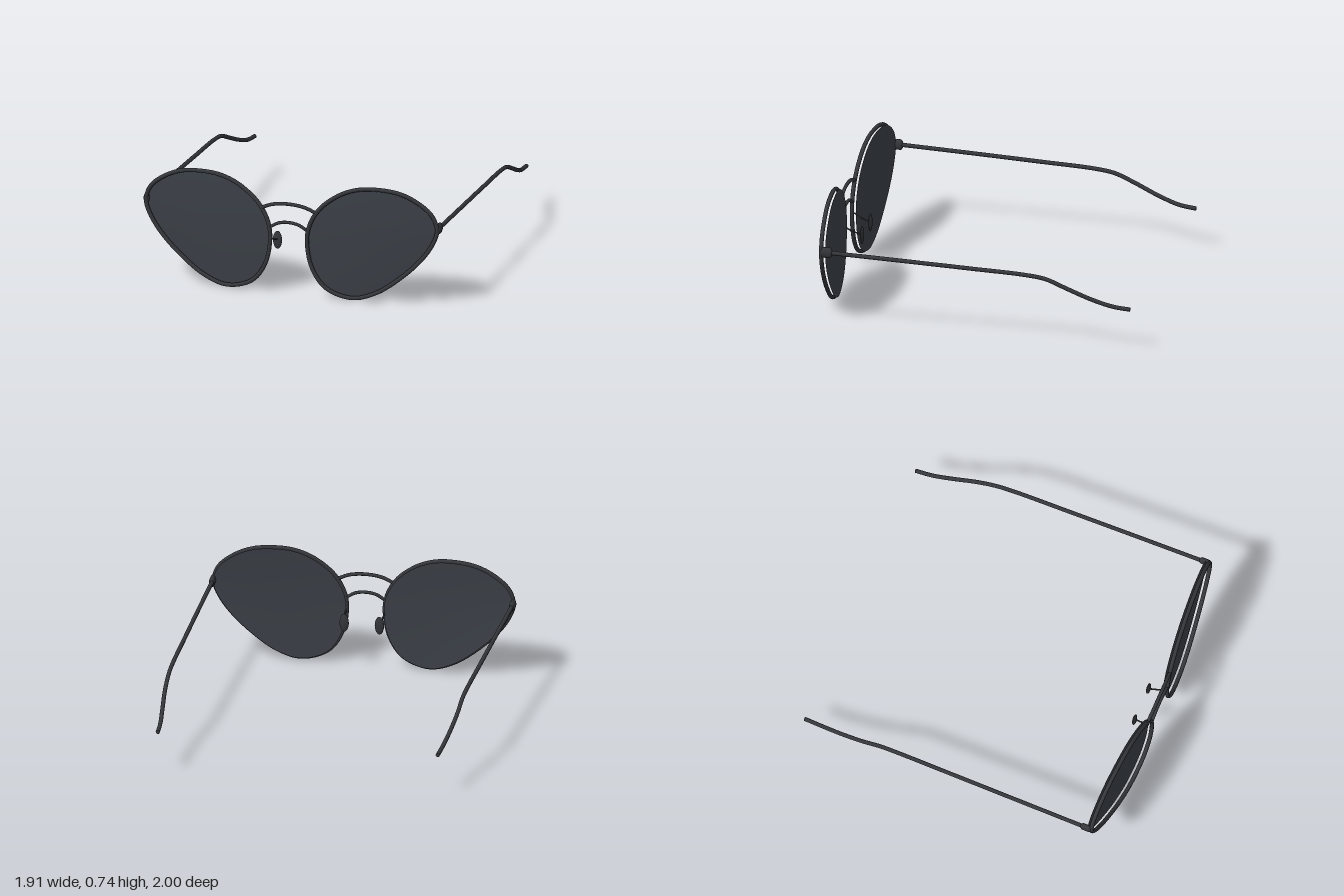
import * as THREE from 'three';

const frameMat = new THREE.MeshStandardMaterial({ color: 0x34373b });
frameMat.name = 'dark metal';
const lensMat = new THREE.MeshStandardMaterial({ color: 0x3b4047, side: THREE.DoubleSide });
lensMat.name = 'smoked lens';

// Outer outline of one eye, in x and y
const OUTLINE = [
  [0.56, 0.75], [0.70, 0.735], [0.81, 0.69], [0.915, 0.605], [0.95, 0.51], [0.93, 0.43],
  [0.86, 0.315], [0.73, 0.18], [0.55, 0.053], [0.395, 0.01], [0.23, 0.063], [0.14, 0.185],
  [0.105, 0.36], [0.122, 0.475], [0.19, 0.592], [0.32, 0.695], [0.44, 0.74],
];
const CENTRE = [0.52, 0.41];
const R = 0.013;
const STEPS = 96;

// The front sweeps back slightly towards the temples
const frontZ = (x) => 0.985 - 0.07 * (Math.abs(x) - 0.1);

function mesh(name, geometry, material = frameMat) {
  const m = new THREE.Mesh(geometry, material);
  m.name = name;
  return m;
}

function wire(name, points, radius, segments, closed = false) {
  const curve = new THREE.CatmullRomCurve3(points.map((p) => new THREE.Vector3(...p)), closed);
  return mesh(name, new THREE.TubeGeometry(curve, segments, radius, 10, closed));
}

function ellipsoid(name, position, size) {
  const m = mesh(name, new THREE.SphereGeometry(0.5, 20, 14));
  m.scale.set(...size);
  m.position.set(...position);
  return m;
}

// Outline moved inwards by the wire radius
function rimPoints(side) {
  return OUTLINE.map(([x, y]) => {
    const dx = CENTRE[0] - x, dy = CENTRE[1] - y, d = Math.hypot(dx, dy);
    const px = x + (dx / d) * R, py = y + (dy / d) * R;
    return [side * px, py, frontZ(px)];
  });
}

// Gently domed sheet made of rings, set just behind the rim
function lensGeometry(side) {
  const curve = new THREE.CatmullRomCurve3(rimPoints(side).map((p) => new THREE.Vector3(...p)), true);
  const edge = curve.getPoints(STEPS).slice(0, STEPS);
  const rings = 8, pos = [], index = [];
  for (let r = 0; r <= rings; r++) {
    const t = r / rings;
    for (const p of edge) {
      const x = THREE.MathUtils.lerp(side * CENTRE[0], p.x, t);
      const y = THREE.MathUtils.lerp(CENTRE[1], p.y, t);
      pos.push(x, y, frontZ(x) - 0.025 + 0.012 * (1 - t * t));
    }
  }
  for (let r = 0; r < rings; r++) {
    for (let i = 0; i < STEPS; i++) {
      const j = (i + 1) % STEPS;
      const a = r * STEPS + i, b = r * STEPS + j, c = a + STEPS, d = b + STEPS;
      if (side > 0) index.push(a, d, c, a, b, d);
      else index.push(a, c, d, a, d, b);
    }
  }
  const g = new THREE.BufferGeometry();
  g.setAttribute('position', new THREE.Float32BufferAttribute(pos, 3));
  g.setIndex(index);
  g.computeVertexNormals();
  return g;
}

function buildSide(side) {
  const g = new THREE.Group();
  g.name = side > 0 ? 'leftHalf' : 'rightHalf';

  g.add(wire('rim', rimPoints(side), R, STEPS, true));
  g.add(mesh('lens', lensGeometry(side), lensMat));

  // Hinge block at the outer corner
  const hinge = mesh('hinge', new THREE.CapsuleGeometry(0.018, 0.04, 6, 14));
  hinge.rotation.x = Math.PI / 2;
  hinge.scale.z = 1.9;
  hinge.position.set(side * 0.938, 0.508, 0.893);
  g.add(hinge);

  // Temple with its drooping, inward curving tip
  const temple = [
    [0.937, 0.508, 0.88], [0.932, 0.495, 0.45], [0.926, 0.48, 0], [0.921, 0.466, -0.36],
    [0.918, 0.449, -0.48], [0.913, 0.397, -0.61], [0.897, 0.334, -0.76], [0.882, 0.293, -0.89],
    [0.875, 0.28, -1],
  ].map(([x, y, z]) => [side * x, y, z]);
  g.add(wire('temple', temple, 0.013, 72));
  const tip = ellipsoid('templeTip', [side * 0.875, 0.28, -0.998], [0.026, 0.026, 0.004]);
  g.add(tip);

  // Nose pad on a thin arm
  g.add(wire('padArm', [
    [side * 0.122, 0.36, 0.97], [side * 0.117, 0.335, 0.925], [side * 0.108, 0.315, 0.868],
  ], 0.005, 12));
  g.add(ellipsoid('nosePad', [side * 0.11, 0.312, 0.866], [0.058, 0.116, 0.024]));
  return g;
}

export function createModel() {
  const model = new THREE.Group();
  model.name = 'sunglasses';
  for (const side of [1, -1]) model.add(buildSide(side));

  // Double bridge
  model.add(wire('upperBridge', [
    [-0.175, 0.553, 0.98], [-0.1, 0.583, 0.985], [0, 0.594, 0.986], [0.1, 0.583, 0.985], [0.175, 0.553, 0.98],
  ], 0.011, 32));
  model.add(wire('lowerBridge', [
    [-0.118, 0.435, 0.984], [-0.065, 0.465, 0.986], [0, 0.475, 0.986], [0.065, 0.465, 0.986], [0.118, 0.435, 0.984],
  ], 0.01, 32));
  return model;
}
